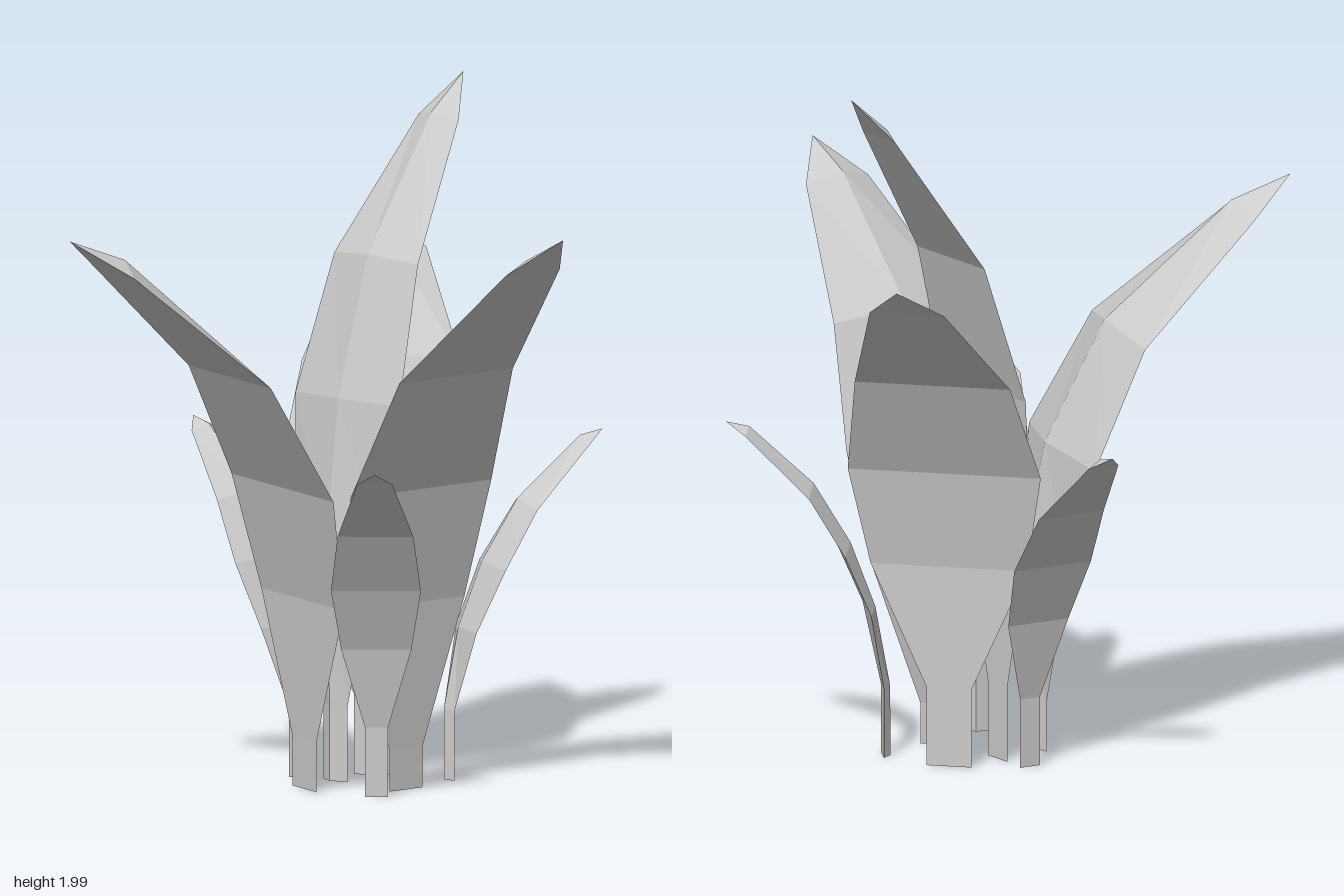
import * as THREE from 'three';

const material = new THREE.MeshStandardMaterial({ color: 0xcccccc, flatShading: true });

// Leaf stations: [reach outward, height, half width, rib thickness]
const LARGE = [
  [0, 0.13, 0.065, 0.03], [0.005, 0.545, 0.225, 0.05], [0.06, 0.88, 0.278, 0.047],
  [0.205, 1.22, 0.224, 0.047], [0.52, 1.55, 0.107, 0.042], [0.645, 1.655, 0, 0],
];
const SMALL = [
  [0, 0.21, 0.033, 0.022], [0.045, 0.44, 0.1, 0.025], [0.123, 0.62, 0.128, 0.035],
  [0.225, 0.79, 0.108, 0.035], [0.4, 0.965, 0.05, 0.026], [0.45, 1, 0, 0],
];

// Leaf with a triangular section: flat outer face and a raised rib on the inner face.
// It grows towards local +z from a straight stalk and ends in a point.
function leafGeometry(profile, scale, heightAt) {
  const foot = [0, 0.01, profile[0][2], profile[0][3]];
  const stations = [foot, ...profile].map(([r, y, w, t], i) =>
    [r * scale, i ? heightAt(y) : y, w * scale, t * scale]);
  const rings = stations.map(([r, y, w, t], i) => {
    // the rib stands off at right angles to the leaf's curve
    const a = stations[Math.max(i - 1, 0)];
    const b = stations[Math.min(i + 1, stations.length - 1)];
    const slope = Math.atan2(b[0] - a[0], b[1] - a[1]);
    return [
      [-w, y, r], [w, y, r],
      [0, y + t * Math.sin(slope), r - t * Math.cos(slope)],
    ];
  });
  const positions = [];
  const face = (...corners) => corners.forEach((c) => positions.push(...c));
  face(rings[0][0], rings[0][2], rings[0][1]);
  for (let i = 0; i < rings.length - 1; i++) {
    for (let k = 0; k < 3; k++) {
      const n = (k + 1) % 3;
      const low = rings[i], high = rings[i + 1];
      face(low[k], low[n], high[k]);
      if (i < rings.length - 2) face(low[n], high[n], high[k]);
    }
  }
  const geometry = new THREE.BufferGeometry();
  geometry.setAttribute('position', new THREE.Float32BufferAttribute(positions, 3));
  geometry.computeVertexNormals();
  return geometry;
}

// Each leaf: stalk position, direction it leans, size, and height stretch about its widest row
const LEAVES = [
  { name: 'frontLeaf', profile: LARGE, at: [0.14, 0.11], to: [0.14, 0.755], scale: 1, middle: 0.88, stretch: 1 },
  { name: 'rightLeaf', profile: LARGE, at: [-0.06, -0.1], to: [-0.775, -0.32], scale: 1.16, middle: 0.88, stretch: 0.97 },
  { name: 'backLeftLeaf', profile: LARGE, at: [0.295, -0.17], to: [0.775, -0.615], scale: 1.015, middle: 0.88, stretch: 0.855 },
  { name: 'tallLeaf', profile: LARGE, at: [0.125, -0.165], to: [0.625, -0.16], scale: 0.775, middle: 1.1, stretch: 1.161 },
  { name: 'smallBackLeaf', profile: SMALL, at: [0.105, -0.3], to: [0.125, -0.755], scale: 1, middle: 0.88, stretch: 1 },
  { name: 'smallLeftLeaf', profile: SMALL, at: [0.375, 0.05], to: [0.77, 0.25], scale: 1, middle: 0.88, stretch: 1 },
  { name: 'smallRightLeaf', profile: SMALL, at: [-0.025, 0.16], to: [-0.335, 0.475], scale: 1, middle: 0.88, stretch: 1 },
];

export function createModel() {
  const plant = new THREE.Group();
  plant.name = 'leafyPlant';
  for (const { name, profile, at, to, scale, middle, stretch } of LEAVES) {
    const heightAt = (y) => middle + (y - 0.88) * stretch;
    const leaf = new THREE.Mesh(leafGeometry(profile, scale, heightAt), material);
    leaf.name = name;
    leaf.position.set(at[0], 0, at[1]);
    leaf.rotation.y = Math.atan2(to[0] - at[0], to[1] - at[1]);
    plant.add(leaf);
  }
  return plant;
}
